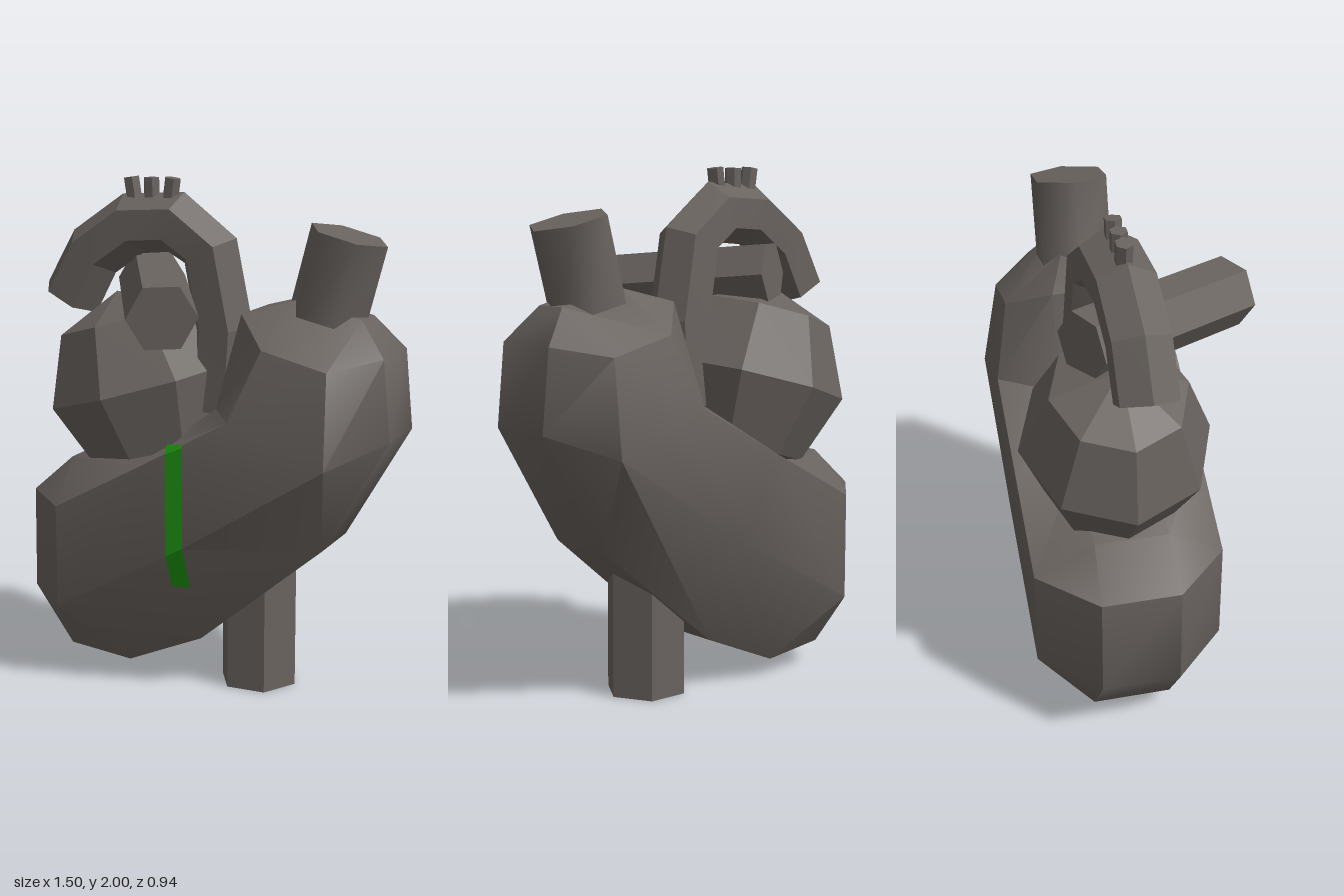
import * as THREE from 'three';
import { toCreasedNormals } from 'three/addons/utils/BufferGeometryUtils.js';

const V = (x, y, z) => new THREE.Vector3(x, y, z);
const ZC = -0.1; // depth of the model's middle plane

export function createModel() {
  const group = new THREE.Group();
  const stone = new THREE.MeshStandardMaterial({ color: 0x69635f });
  stone.name = 'warm grey';
  const green = new THREE.MeshStandardMaterial({ color: 0x1f9a10, side: THREE.DoubleSide });
  green.name = 'green';

  const add = (name, geometry, crease = 0.1, material = stone) => {
    const mesh = new THREE.Mesh(toCreasedNormals(geometry, crease), material);
    mesh.name = name;
    group.add(mesh);
    return mesh;
  };

  // Collects triangles from points, skipping collapsed ones
  const builder = () => {
    const p = [];
    const tri = (a, b, c) => {
      if (a.equals(b) || b.equals(c) || a.equals(c)) return;
      for (const v of [a, b, c]) p.push(v.x, v.y, v.z);
    };
    // Skin between two loops of equal length
    const skin = (A, B) => A.forEach((a, i) => {
      const j = (i + 1) % A.length;
      tri(a, B[i], B[j]);
      tri(a, B[j], A[j]);
    });
    const build = () => {
      const g = new THREE.BufferGeometry();
      g.setAttribute('position', new THREE.Float32BufferAttribute(p, 3));
      return g;
    };
    return { tri, skin, build };
  };

  // Six-sided pipe from a to b
  const pipe = (name, a, b, r, roll = 0, crease = 0.1) => {
    const dir = b.clone().sub(a);
    const g = new THREE.CylinderGeometry(r, r, dir.length(), 6);
    g.rotateY(roll);
    g.applyQuaternion(new THREE.Quaternion().setFromUnitVectors(V(0, 1, 0), dir.clone().normalize()));
    const m = a.clone().add(b).multiplyScalar(0.5);
    g.translate(m.x, m.y, m.z);
    return add(name, g, crease);
  };

  // Main chamber: silhouette loop (x, y, half depth) paired with its face-plate loop
  const low = [-0.54, 0.32, 0.36], mid = [0, 0.62, 0.36], side = [0.57, 0.98, 0.36];
  const topR = [0.555, 1.335, 0.3], topL = [0.3, 1.4, 0.3];
  const neck = [0.19, 1.13, 0.36], slope = [-0.17, 0.93, 0.36], end = [-0.54, 0.73, 0.36];
  const loop = [
    [[-0.755, 0.32, 0.15], low], [[-0.59, 0.09, 0.15], low], [[-0.31, 0.07, 0.18], low],
    [[0, 0.2, 0.17], mid], [[0.49, 0.61, 0.14], side], [[0.75, 1.06, 0.14], side],
    [[0.72, 1.37, 0.14], topR], [[0.61, 1.5, 0.07], topR], [[0.35, 1.56, 0.07], topL],
    [[0.155, 1.505, 0.14], topL], [[0.05, 1.13, 0.14], neck], [[-0.2, 0.945, 0.14], slope],
    [[-0.58, 0.88, 0.14], end], [[-0.75, 0.73, 0.15], end],
  ];
  const at = (q, s) => V(q[0], q[1], ZC + s * q[2]);
  const body = builder();
  const layers = [[1, 1], [0, 1], [0, -1], [1, -1]].map(([k, s]) => loop.map((pair) => at(pair[k], s)));
  for (let i = 0; i < 3; i++) body.skin(layers[i], layers[i + 1]);
  const plate = [
    [slope, end, low], [slope, low, mid], [slope, mid, side],
    [slope, side, neck], [neck, side, topR], [neck, topR, topL],
  ];
  for (const [a, b, c] of plate) {
    body.tri(at(a, 1), at(b, 1), at(c, 1));
    body.tri(at(a, -1), at(c, -1), at(b, -1));
  }
  add('mainChamber', body.build(), 0.64);

  // Upper chamber: tilted faceted ball
  const ball = new THREE.SphereGeometry(1, 8, 4);
  ball.scale(0.395, 0.385, 0.36);
  ball.rotateZ(0.28);
  ball.translate(-0.34, 1.17, -0.11);
  add('upperChamber', ball);

  // Arched vessel: hexagonal rings along a bent path
  const path = [
    [-0.62, 1.515, -0.06], [-0.52, 1.7, -0.065], [-0.355, 1.815, -0.075], [-0.175, 1.825, -0.09],
    [-0.035, 1.72, -0.1], [0.02, 1.42, -0.11], [0.0, 1.1, -0.11],
  ].map((q) => V(...q));
  const rings = path.map((c, i) => {
    const t = path[Math.min(i + 1, path.length - 1)].clone().sub(path[Math.max(i - 1, 0)]).setZ(0).normalize();
    return Array.from({ length: 6 }, (_, k) => {
      const a = (k * Math.PI) / 3, r = 0.122;
      return V(c.x - t.y * r * Math.cos(a), c.y + t.x * r * Math.cos(a), c.z + r * Math.sin(a));
    });
  });
  const arch = builder();
  for (let i = 0; i < rings.length - 1; i++) arch.skin(rings[i + 1], rings[i]);
  const first = rings[0], last = rings[rings.length - 1];
  for (let k = 1; k < 5; k++) {
    arch.tri(first[0], first[k + 1], first[k]);
    arch.tri(last[0], last[k], last[k + 1]);
  }
  add('archVessel', arch.build());

  // Three small branches on the arch
  for (const [x0, x1] of [[-0.345, -0.363], [-0.275, -0.276], [-0.2, -0.184]]) {
    pipe('archBranch', V(x0, 1.88, -0.08), V(x1, 1.995, -0.08), 0.033, Math.PI / 6);
  }

  // Straight vessels
  pipe('crossVessel', V(-0.35, 1.59, -0.23), V(0, 1.53, 0.41), 0.133);
  pipe('topVessel', V(0.435, 1.44, ZC), V(0.53, 1.805, ZC), 0.155, Math.PI / 6, 1.1);
  pipe('lowerVessel', V(0.178, 0, ZC), V(0.178, 0.55, ZC), 0.157, Math.PI / 6);

  // Painted stripe that folds over the face plate's lower edge
  const stripe = builder();
  const L = [V(-0.06, 0.45, 0.208), V(-0.06, 0.587, 0.267), V(-0.06, 0.99, 0.267), V(-0.06, 1.025, 0.25)];
  const R = [V(0.01, 0.45, 0.193), V(0.01, 0.626, 0.267), V(0.01, 1.02, 0.267), V(0.01, 1.03, 0.26)];
  for (let i = 0; i < 3; i++) {
    stripe.tri(L[i], R[i], R[i + 1]);
    stripe.tri(L[i], R[i + 1], L[i + 1]);
  }
  add('paintedStripe', stripe.build(), 0.1, green);

  return group;
}
